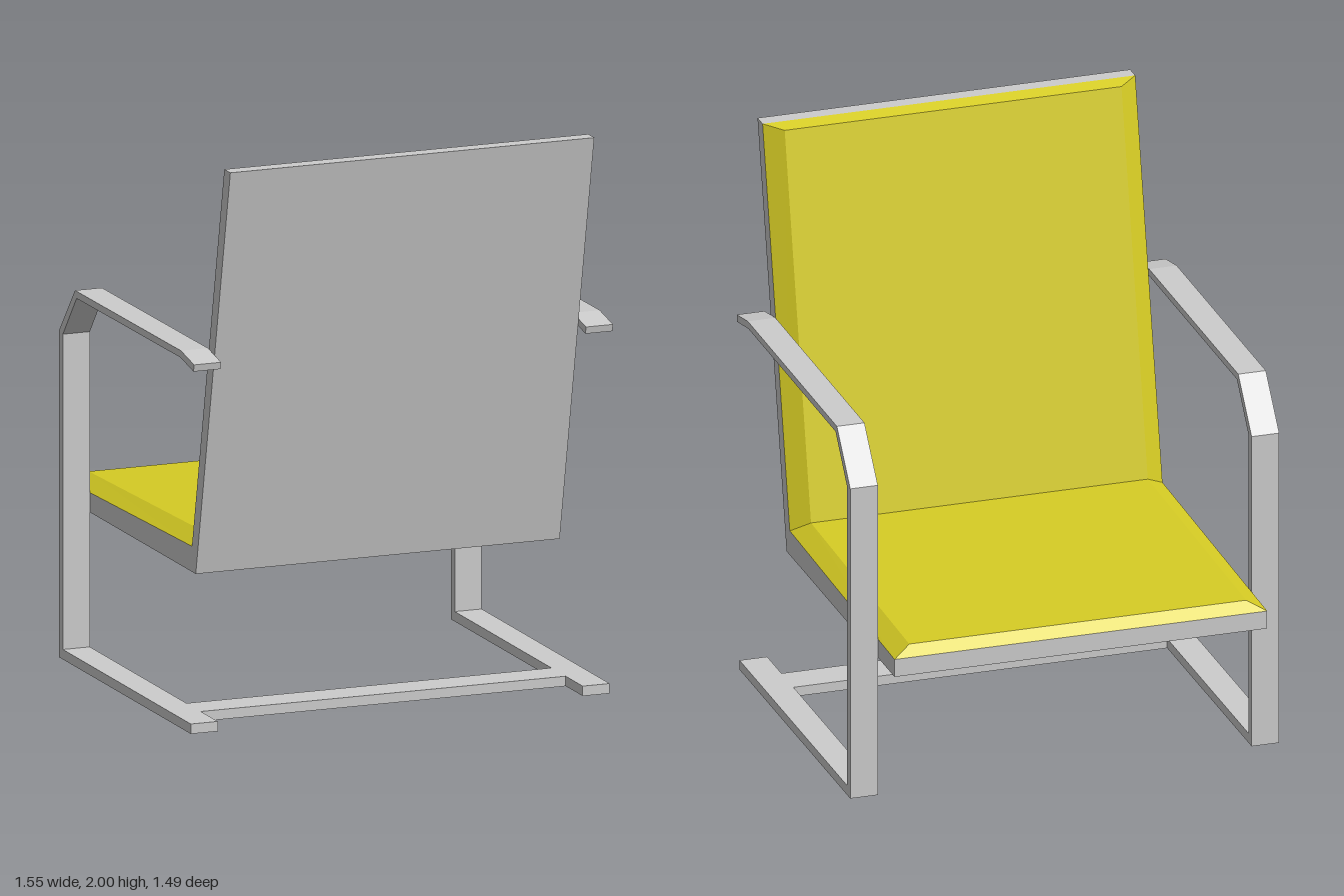
import * as THREE from 'three';

const grey = new THREE.MeshStandardMaterial({ color: 0xcccccc });
grey.name = 'grey frame';
const yellow = new THREE.MeshStandardMaterial({ color: 0xd6cc24 });
yellow.name = 'yellow upholstery';

// Extrude a side profile of [z, y] points from x0 to x1
function sideProfile(name, points, x0, x1) {
  const shape = new THREE.Shape(points.map(([z, y]) => new THREE.Vector2(-z, y)));
  const geo = new THREE.ExtrudeGeometry(shape, { depth: x1 - x0, bevelEnabled: false });
  geo.rotateY(Math.PI / 2).translate(x0, 0, 0);
  const mesh = new THREE.Mesh(geo, grey);
  mesh.name = name;
  return mesh;
}

// Bevelled upholstery running from the top of the back to the front of the seat
function cushion() {
  const rim = [[0.69, 2.0], [0.395, 0.60], [-0.74, 0.575]];
  const pad = [[0.645, 1.985], [0.36, 0.635], [-0.705, 0.61]];
  const outerX = 0.675, innerX = 0.61;
  const at = (x, [z, y]) => [x, y, z];
  const rows = rim.map((r, i) => [
    at(-outerX, r), at(-innerX, pad[i]), at(innerX, pad[i]), at(outerX, r),
  ]);
  const verts = [];
  const quad = (a, b, c, d) => verts.push(...a, ...b, ...c, ...a, ...c, ...d);

  // Side bevels and flat faces
  for (let s = 0; s < 2; s++) {
    for (let k = 0; k < 3; k++) {
      quad(rows[s][k], rows[s][k + 1], rows[s + 1][k + 1], rows[s + 1][k]);
    }
  }
  // Bevels at the top of the back and the front of the seat
  const top = rows[0], front = rows[2];
  quad(top[0], top[3], top[2], top[1]);
  quad(front[0], front[1], front[2], front[3]);

  const geo = new THREE.BufferGeometry();
  geo.setAttribute('position', new THREE.Float32BufferAttribute(verts, 3));
  geo.computeVertexNormals();
  const mesh = new THREE.Mesh(geo, yellow);
  mesh.name = 'cushion';
  return mesh;
}

export function createModel() {
  const chair = new THREE.Group();
  chair.name = 'armchair';

  // Angled shell carrying the upholstery
  chair.add(sideProfile('seatShell', [
    [0.43, 0.51], [0.745, 2.0], [0.69, 2.0], [0.395, 0.60], [-0.74, 0.575], [-0.74, 0.51],
  ], -0.675, 0.675));
  chair.add(cushion());

  // Flat strip bent into foot, upright and armrest
  const strip = [
    [0.635, 0], [-0.565, 0], [-0.565, 1.155], [-0.42, 1.33], [0.545, 1.335], [0.665, 1.312],
    [0.66, 1.287], [0.54, 1.31], [-0.405, 1.305], [-0.53, 1.15], [-0.53, 0.035], [0.635, 0.035],
  ];
  chair.add(sideProfile('leftArmFrame', strip, 0.677, 0.777));
  chair.add(sideProfile('rightArmFrame', strip, -0.777, -0.677));

  // Floor bar joining the two feet
  const bar = new THREE.Mesh(new THREE.BoxGeometry(1.354, 0.035, 0.13), grey);
  bar.name = 'crossBar';
  bar.position.set(0, 0.0175, 0.415);
  chair.add(bar);

  return chair;
}
